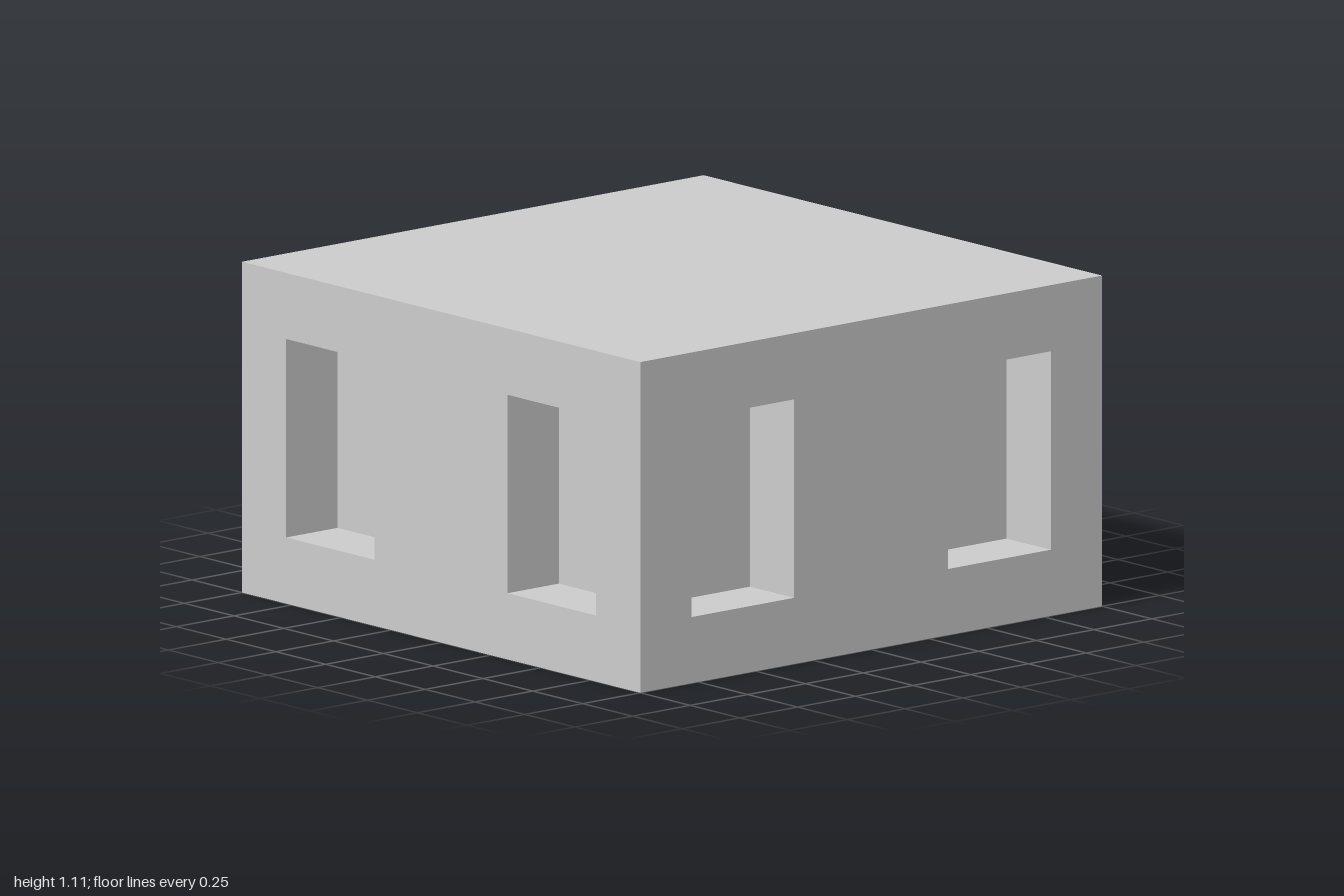
import * as THREE from 'three';

const U = 1 / 9; // module: the block is 18 x 10 x 18 units
const HALF = 9 * U, HEIGHT = 10 * U;
const WIN = { inner: 3 * U, outer: 7 * U, bottom: 2 * U, top: 8 * U, depth: 2 * U };

const material = new THREE.MeshStandardMaterial({ color: 0xcccccc, flatShading: true });

function addMesh(parent, name, geometry) {
  const mesh = new THREE.Mesh(geometry, material);
  mesh.name = name;
  parent.add(mesh);
  return mesh;
}

function rectangle(path, x0, y0, x1, y1) {
  return path.moveTo(x0, y0).lineTo(x1, y0).lineTo(x1, y1).lineTo(x0, y1).closePath();
}

// Box turned inside out with its +z side left open
function recessGeometry(width, height, depth) {
  const geometry = new THREE.BoxGeometry(width, height, depth);
  const index = Array.from(geometry.index.array);
  index.splice(24, 6);
  geometry.setIndex(index.reverse());
  geometry.clearGroups();
  const normal = geometry.attributes.normal;
  for (let i = 0; i < normal.array.length; i++) normal.array[i] *= -1;
  return geometry;
}

// One wall facing +z, with a pair of window recesses
function createWall() {
  const wall = new THREE.Group();
  const width = WIN.outer - WIN.inner, height = WIN.top - WIN.bottom;
  const shape = rectangle(new THREE.Shape(), -HALF, 0, HALF, HEIGHT);

  for (const side of [-1, 1]) {
    const centre = side * (WIN.inner + WIN.outer) / 2;
    shape.holes.push(rectangle(new THREE.Path(),
      centre - width / 2, WIN.bottom, centre + width / 2, WIN.top));
    const recess = addMesh(wall, side > 0 ? 'leftWindowRecess' : 'rightWindowRecess',
      recessGeometry(width, height, WIN.depth));
    recess.position.set(centre, (WIN.bottom + WIN.top) / 2, HALF - WIN.depth / 2);
  }

  addMesh(wall, 'wallFace', new THREE.ShapeGeometry(shape)).position.z = HALF;
  return wall;
}

export function createModel() {
  const model = new THREE.Group();
  model.name = 'building';

  // Four identical walls around the block
  ['frontWall', 'leftWall', 'backWall', 'rightWall'].forEach((name, i) => {
    const wall = createWall();
    wall.name = name;
    wall.rotation.y = i * Math.PI / 2;
    model.add(wall);
  });

  // Flat roof and underside
  const roof = addMesh(model, 'roof', new THREE.PlaneGeometry(2 * HALF, 2 * HALF));
  roof.rotation.x = -Math.PI / 2;
  roof.position.y = HEIGHT;
  const base = addMesh(model, 'base', new THREE.PlaneGeometry(2 * HALF, 2 * HALF));
  base.rotation.x = Math.PI / 2;

  return model;
}
